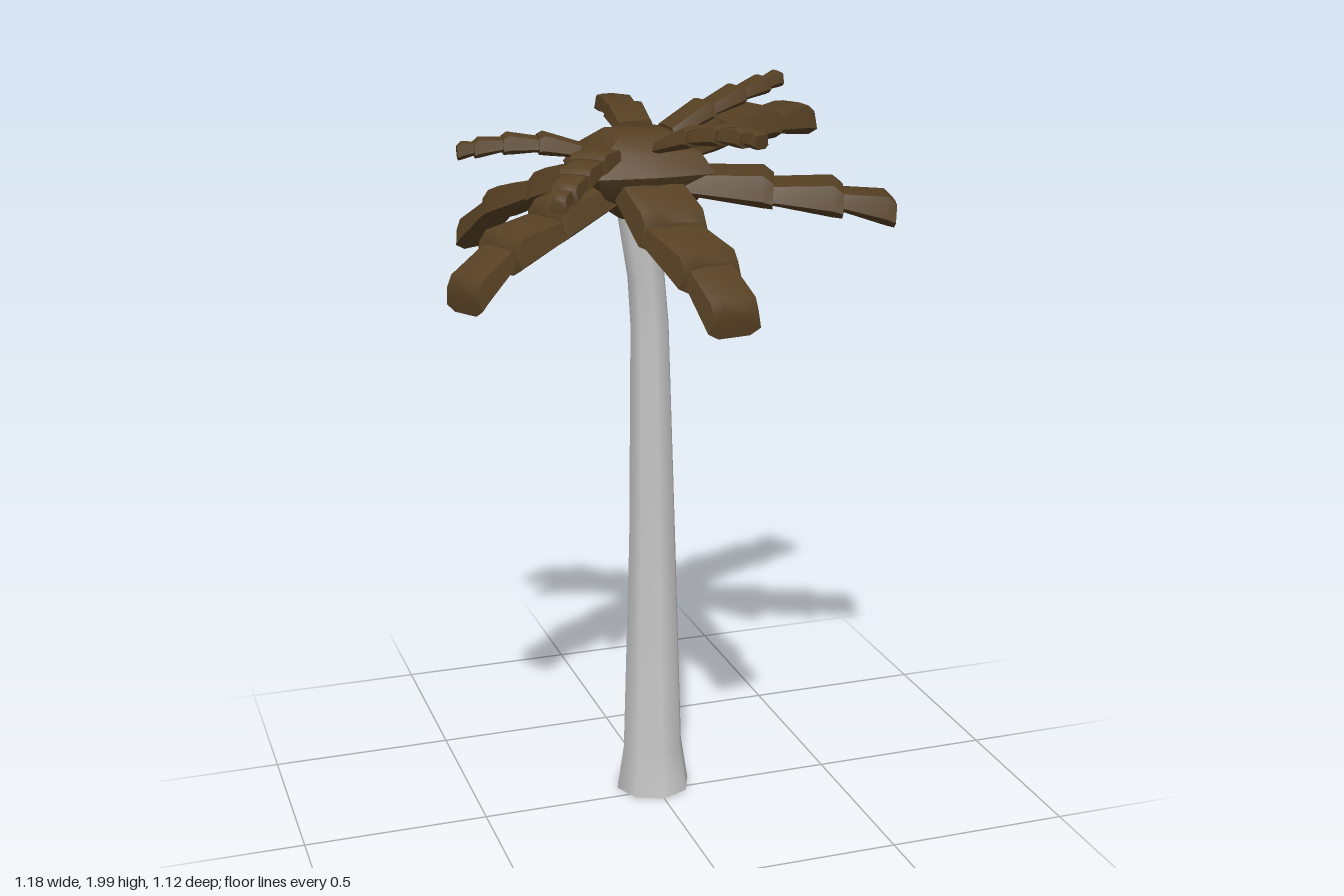
import * as THREE from 'three';
import { toCreasedNormals } from 'three/addons/utils/BufferGeometryUtils.js';

// Skin a list of equal-sized rings of points, optionally closing both ends
function loft(rings, caps, crease) {
  const n = rings[0].length, pos = [], index = [];
  rings.forEach(r => r.forEach(p => pos.push(p.x, p.y, p.z)));
  for (let j = 0; j < rings.length - 1; j++) {
    for (let i = 0; i < n; i++) {
      const a = j * n + i, b = j * n + (i + 1) % n;
      index.push(a, b, a + n, b, b + n, a + n);
    }
  }
  if (caps) {
    const last = (rings.length - 1) * n;
    for (let i = 1; i < n - 1; i++) {
      index.push(0, i + 1, i, last, last + i, last + i + 1);
    }
  }
  const g = new THREE.BufferGeometry();
  g.setAttribute('position', new THREE.Float32BufferAttribute(pos, 3));
  g.setIndex(index);
  return toCreasedNormals(g, crease);
}

// Horizontal eight-sided ring; odd corners may reach further out to square it off
function ring(x, y, z, r, corner = r) {
  return Array.from({ length: 8 }, (_, i) => {
    const a = -(i / 8) * Math.PI * 2, d = i % 2 ? corner : r;
    return new THREE.Vector3(x + d * Math.cos(a), y, z + d * Math.sin(a));
  });
}

// Frond cross-section: (across, down) as fractions of width and thickness
const SECTION = [[0.2, 0], [0.42, 0.06], [0.5, 0.75], [0.3, 1], [-0.3, 1], [-0.5, 0.75], [-0.42, 0.06], [-0.2, 0]];
const UP = new THREE.Vector3(0, 1, 0);

// One ring across a frond, with its top lowered by drop and its underside at depth
function section(p, dir, along, width, drop, depth) {
  const side = new THREE.Vector3().crossVectors(dir, UP).normalize();
  // The end faces stay close to upright even where the frond droops
  const up = new THREE.Vector3().crossVectors(side, dir).lerp(UP, 0.75);
  return SECTION.map(([u, v]) => p.clone()
    .addScaledVector(dir, along)
    .addScaledVector(side, u * width)
    .addScaledVector(up, -drop - v * (depth - drop)));
}

// Chain of overlapping blocks, each tucked under the raised lip of the one before
function frond(name, points, widths, thick, material) {
  const group = new THREE.Group();
  group.name = name;
  const pts = points.map(p => new THREE.Vector3(...p));
  widths.forEach((w, i) => {
    const a = pts[i], b = pts[i + 1];
    const dir = b.clone().sub(a).normalize();
    const t = thick * (0.6 + 0.4 * w / widths[0]);
    const geo = loft([
      section(a, dir, -0.02, w * 0.96, t * 0.35, t * 0.92),
      section(b, dir, -t * 0.3, w, 0, t),
      section(b, dir, 0, w * 0.97, t * 0.2, t),
    ], true, 0.85);
    const mesh = new THREE.Mesh(geo, material);
    mesh.name = 'frondSegment';
    group.add(mesh);
  });
  return group;
}

export function createModel() {
  const model = new THREE.Group();
  model.name = 'palmTree';
  const bark = new THREE.MeshStandardMaterial({ color: 0xc8c8c8, side: THREE.DoubleSide });
  bark.name = 'paleGreyBark';
  const leaf = new THREE.MeshStandardMaterial({ color: 0x564023 });
  leaf.name = 'darkBrownFronds';

  // Trunk: flared foot, slight lean near the top, open ends
  const trunkRows = [
    [0, 0, -0.05, 0.105], [-0.002, 0.13, -0.045, 0.085], [-0.003, 0.75, -0.043, 0.066],
    [-0.01, 1.35, -0.043, 0.053], [-0.02, 1.48, -0.042, 0.051], [-0.05, 1.68, -0.035, 0.055],
  ];
  const trunk = new THREE.Mesh(loft(trunkRows.map(([x, y, z, r]) => ring(x, y, z, r)), false, 1), bark);
  trunk.name = 'trunk';
  model.add(trunk);

  // Crown: low squarish hub holding the fronds
  const crownRows = [[1.64, 0.05, 0.05], [1.7, 0.14, 0.17], [1.77, 0.17, 0.22], [1.82, 0.145, 0.18], [1.865, 0.08, 0.1]];
  const crown = new THREE.Mesh(
    loft(crownRows.map(([y, r, corner]) => ring(-0.045, y, -0.03, r, corner)), true, 0.7), leaf);
  crown.name = 'crown';
  model.add(crown);

  // Large lower fronds
  const large = [
    ['backRightLeaf', [[-0.11, 1.8, -0.13], [-0.215, 1.735, -0.285], [-0.31, 1.665, -0.43], [-0.37, 1.56, -0.533]], [0.205, 0.18, 0.142]],
    ['backLeftLeaf', [[0.03, 1.85, -0.11], [0.205, 1.875, -0.21], [0.39, 1.885, -0.26], [0.513, 1.875, -0.32]], [0.19, 0.175, 0.155]],
    ['frontLeftLeaf', [[0.05, 1.8, 0.02], [0.275, 1.77, 0.11], [0.44, 1.745, 0.175], [0.566, 1.71, 0.215]], [0.213, 0.2, 0.15]],
    ['frontLeaf', [[-0.055, 1.8, 0.07], [-0.045, 1.7, 0.27], [-0.01, 1.63, 0.435], [0.01, 1.535, 0.555]], [0.195, 0.185, 0.148]],
    ['frontRightLeaf', [[-0.13, 1.79, 0], [-0.325, 1.705, 0.075], [-0.465, 1.65, 0.145], [-0.572, 1.555, 0.205]], [0.175, 0.172, 0.132]],
  ];
  for (const [name, pts, widths] of large) model.add(frond(name, pts, widths, 0.092, leaf));

  // Small upper fronds: start and end points, with an arch between
  const small = [
    ['backSprig', [-0.018, 1.895, -0.155], [-0.01, 1.9, -0.45], 0.02],
    ['rightSprig', [-0.185, 1.845, -0.115], [-0.49, 1.835, -0.16], 0.02],
    ['leftSprig', [0.057, 1.895, -0.065], [0.365, 1.997, -0.09], 0.01],
    ['frontRightSprig', [-0.18, 1.855, 0.082], [-0.36, 1.775, 0.325], 0.015],
    ['frontLeftSprig', [0, 1.88, 0.1], [0.14, 1.91, 0.365], 0.02],
  ];
  for (const [name, from, to, arch] of small) {
    const pts = [0, 0.32, 0.62, 0.86, 1].map(t => {
      const p = from.map((v, k) => v + (to[k] - v) * t);
      p[1] += arch * Math.sin(Math.PI * t);
      return p;
    });
    model.add(frond(name, pts, [0.11, 0.095, 0.075, 0.05], 0.055, leaf));
  }
  return model;
}
